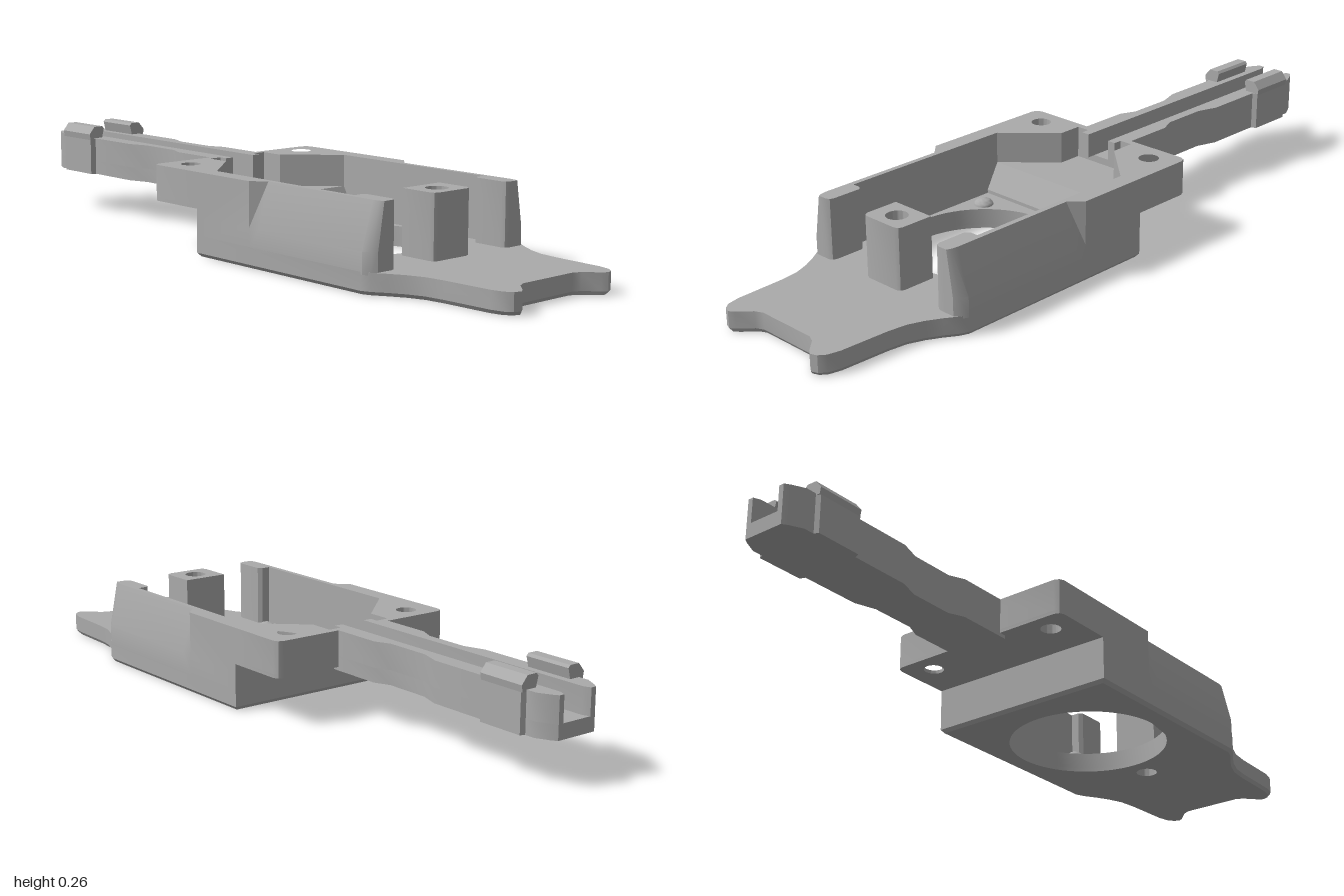
import * as THREE from 'three';
import { toCreasedNormals } from 'three/addons/utils/BufferGeometryUtils.js';

const grey = new THREE.MeshStandardMaterial({ color: 0xaaaaaa });
grey.name = 'grey plastic';

function add(group, name, geometry) {
  const mesh = new THREE.Mesh(toCreasedNormals(geometry, 0.5), grey);
  mesh.name = name;
  group.add(mesh);
  return mesh;
}

function outline(points, holes = []) {
  const shape = new THREE.Shape(points.map(([x, z]) => new THREE.Vector2(x, -z)));
  for (const [x, z, r] of holes) {
    shape.holes.push(new THREE.Path().absarc(x, -z, r, 0, Math.PI * 2, true));
  }
  return shape;
}

// Plan outline given as [x, z], raised from y0 to y1
function slab(points, y0, y1, holes) {
  const geo = new THREE.ExtrudeGeometry(outline(points, holes), {
    depth: y1 - y0, bevelEnabled: false, curveSegments: 32,
  });
  return geo.rotateX(-Math.PI / 2).translate(0, y0, 0);
}

// Half outline (z > 0) closed by its mirror image
const mirrored = (half) => [...half, ...half.map(([x, z]) => [x, -z]).reverse()];
const flipZ = (pts, side) => pts.map(([x, z, ...rest]) => [x, z * side, ...rest]);

// Skin joining sections of equal point count, with flat end caps
function loft(sections, side) {
  const pos = [];
  const tri = (a, b, c) => {
    for (const p of side > 0 ? [a, b, c] : [a, c, b]) pos.push(p[0], p[1], p[2] * side);
  };
  const n = sections[0].length;
  for (let i = 0; i + 1 < sections.length; i++) {
    for (let j = 0; j < n; j++) {
      const k = (j + 1) % n;
      const [s, t] = [sections[i], sections[i + 1]];
      tri(s[j], t[k], s[k]);
      tri(s[j], t[j], t[k]);
    }
  }
  const first = sections[0], last = sections[sections.length - 1];
  for (let j = 1; j + 1 < n; j++) {
    tri(first[0], first[j], first[j + 1]);
    tri(last[0], last[j + 1], last[j]);
  }
  const geo = new THREE.BufferGeometry();
  geo.setAttribute('position', new THREE.Float32BufferAttribute(pos, 3));
  geo.computeVertexNormals();
  return geo;
}

export function createModel() {
  const model = new THREE.Group();
  model.name = 'mounting bracket';

  // Base plate with fishtail end, large opening and screw hole
  const plate = mirrored([
    [-0.03, 0.285], [0.6, 0.285], [0.625, 0.275], [0.66, 0.252], [0.7, 0.23], [0.745, 0.213],
    [0.8, 0.206], [0.94, 0.2], [0.975, 0.192], [0.993, 0.178], [1, 0.16], [0.99, 0.145],
    [0.955, 0.112], [0.945, 0.09],
  ]);
  const holes = [[0.285, 0, 0.225], [0.58, 0, 0.03]];
  add(model, 'base plate', slab(plate, 0.01, 0.057, holes));

  // Chamfered underside: only the outer rim is drawn in
  const rim = slab(plate, 0, 0.01, holes);
  const p = rim.attributes.position;
  for (let i = 0; i < p.count; i++) {
    const x = p.getX(i), z = p.getZ(i);
    const inHole = holes.some(([hx, hz, r]) => Math.hypot(x - hx, z - hz) < r + 0.001);
    if (p.getY(i) < 0.005 && !inHole) {
      p.setX(i, 0.485 + (x - 0.485) * 0.985);
      p.setZ(i, z * 0.97);
    }
  }
  rim.computeVertexNormals();
  add(model, 'base chamfer', rim);

  // Raised rear shelf floor and the ramp down to the base
  const screwHoles = [[-0.155, 0.205, 0.028], [-0.155, -0.205, 0.028]];
  add(model, 'shelf floor', slab(mirrored([
    [-0.22, 0.265], [-0.214, 0.279], [-0.2, 0.285], [-0.03, 0.285],
  ]), 0.13, 0.14, screwHoles));
  const ramp = new THREE.Shape([
    [-0.03, 0.05], [0.035, 0.05], [0.035, 0.067], [-0.005, 0.14], [-0.03, 0.14],
  ].map(([x, y]) => new THREE.Vector2(x, y)));
  add(model, 'ramp', new THREE.ExtrudeGeometry(ramp, { depth: 0.47, bevelEnabled: false })
    .translate(0, 0, -0.235));

  // Arm floor, with the rails standing along both edges
  const armEdge = [
    [-1, 0.06], [-0.985, 0.07], [-0.95, 0.087], [-0.92, 0.087], [-0.915, 0.1], [-0.78, 0.1],
    [-0.775, 0.085], [-0.6, 0.085], [-0.54, 0.066], [-0.41, 0.066], [-0.365, 0.085], [-0.2, 0.085],
  ];
  add(model, 'arm floor', slab(mirrored(armEdge), 0.12, 0.16));

  for (const side of [1, -1]) {
    const name = side > 0 ? 'left' : 'right';

    add(model, name + ' arm rail', slab(flipZ(
      [...armEdge, [-0.2, 0.062], [-0.175, 0.062], [-0.175, 0.037], [-0.98, 0.037], [-1, 0.045]], side),
    0.16, 0.23));

    // Snap hook on the arm tip
    const hook = new THREE.Shape([
      [0.1, 0.225], [0.103, 0.243], [0.085, 0.265], [0.056, 0.265], [0.05, 0.258], [0.058, 0.225],
    ].map(([z, y]) => new THREE.Vector2(-z * side, y)));
    add(model, name + ' snap hook', new THREE.ExtrudeGeometry(hook, { depth: 0.14, bevelEnabled: false })
      .rotateY(Math.PI / 2).translate(-0.92, 0, 0));

    // Shelf block with splayed inner face and latch pocket
    add(model, name + ' shelf block', slab(flipZ([
      [-0.22, 0.265], [-0.214, 0.279], [-0.2, 0.285], [-0.03, 0.285], [-0.03, 0.235], [-0.005, 0.235],
      [-0.13, 0.1], [-0.2, 0.1], [-0.2, 0.037], [-0.22, 0.037],
    ], side), 0.14, 0.23, flipZ([[-0.155, 0.205, 0.028]], side)));

    // Side wall: square at the rear, sloped outer face further forward
    const section = (x, outer, top) => [
      [x, 0.05, 0.235], [x, 0.05, outer], [x, 0.107, outer], [x, 0.23, top], [x, 0.23, 0.235],
    ];
    add(model, name + ' side wall', loft([
      section(-0.03, 0.285, 0.285), section(0.185, 0.285, 0.285), section(0.222, 0.285, 0.25),
      section(0.605, 0.285, 0.25), section(0.625, 0.274, 0.247), section(0.636, 0.262, 0.242),
    ], side));

    // Inward return at the wall's front end
    add(model, name + ' wall return', slab(flipZ([
      [0.525, 0.236], [0.636, 0.236], [0.636, 0.215], [0.631, 0.204], [0.62, 0.2], [0.535, 0.2], [0.525, 0.21],
    ], side), 0.05, 0.23));

    // Locating pegs around the opening
    for (const x of [0.1, 0.47]) {
      const peg = new THREE.SphereGeometry(0.028, 20, 8, 0, Math.PI * 2, 0, Math.PI / 2);
      add(model, name + ' peg', peg.scale(1, 0.7, 1).translate(x, 0.056, 0.185 * side));
    }
  }

  // Screw post
  add(model, 'screw post', slab(mirrored([
    [0.525, 0.067], [0.62, 0.067], [0.631, 0.063], [0.636, 0.052],
  ]), 0.05, 0.23, [[0.58, 0, 0.03]]));

  return model;
}
